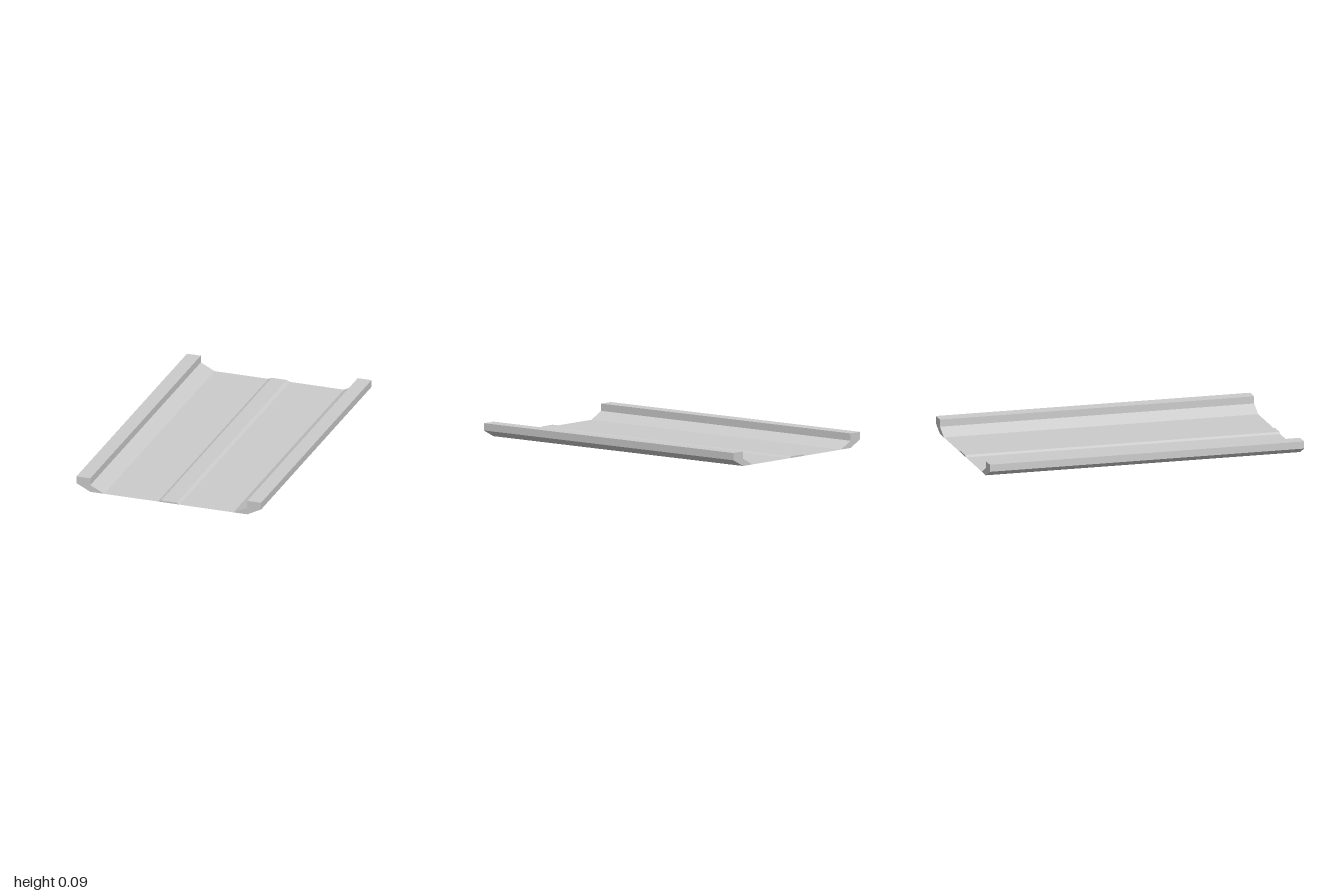
import * as THREE from 'three';

const LENGTH = 2;

// Extrude a cross-section (x, y) along z, centred on z = 0
function extrudeProfile(points, material, name) {
  const shape = new THREE.Shape(points.map(([x, y]) => new THREE.Vector2(x, y)));
  const geometry = new THREE.ExtrudeGeometry(shape, { depth: LENGTH, bevelEnabled: false });
  geometry.translate(0, 0, -LENGTH / 2);
  const mesh = new THREE.Mesh(geometry, material);
  mesh.name = name;
  return mesh;
}

// Sweep an open profile along z as a thin sheet, facing up, with sharp folds
function sheetGeometry(profile) {
  const h = LENGTH / 2;
  const positions = [];
  for (let i = 0; i < profile.length - 1; i++) {
    const [x0, y0] = profile[i];
    const [x1, y1] = profile[i + 1];
    positions.push(x0, y0, h, x1, y1, h, x1, y1, -h);
    positions.push(x0, y0, h, x1, y1, -h, x0, y0, -h);
  }
  const geometry = new THREE.BufferGeometry();
  geometry.setAttribute('position', new THREE.Float32BufferAttribute(positions, 3));
  geometry.computeVertexNormals();
  return geometry;
}

export function createModel() {
  const group = new THREE.Group();
  group.name = 'channelSection';
  const solid = new THREE.MeshStandardMaterial({ color: 0xcccccc, flatShading: true });
  const thin = new THREE.MeshStandardMaterial({ color: 0xcccccc, flatShading: true, side: THREE.DoubleSide });

  // Raised kerbs along both long edges, with a sloped inner foot
  const kerb = [[0.42, 0], [0.51, 0], [0.6, 0.045], [0.6, 0.09], [0.51, 0.09], [0.51, 0.045]];
  group.add(extrudeProfile(kerb, solid, 'leftKerb'));
  group.add(extrudeProfile(kerb.map(([x, y]) => [-x, y]), solid, 'rightKerb'));

  // Thin floor, folded up into a low ridge along the middle
  const ridge = [[-0.07, 0], [-0.05, 0.01], [0.05, 0.01], [0.07, 0]];
  const floor = new THREE.Mesh(sheetGeometry([[-0.42, 0], ...ridge, [0.42, 0]]), thin);
  floor.name = 'floor';
  group.add(floor);

  // Small plates closing the two ends of the ridge
  const plate = new THREE.ShapeGeometry(new THREE.Shape(ridge.map(([x, y]) => new THREE.Vector2(x, y))));
  for (const side of [1, -1]) {
    const end = new THREE.Mesh(plate, thin);
    end.name = side > 0 ? 'frontRidgeEnd' : 'backRidgeEnd';
    end.position.z = side * LENGTH / 2;
    if (side < 0) end.rotation.y = Math.PI;
    group.add(end);
  }
  return group;
}
